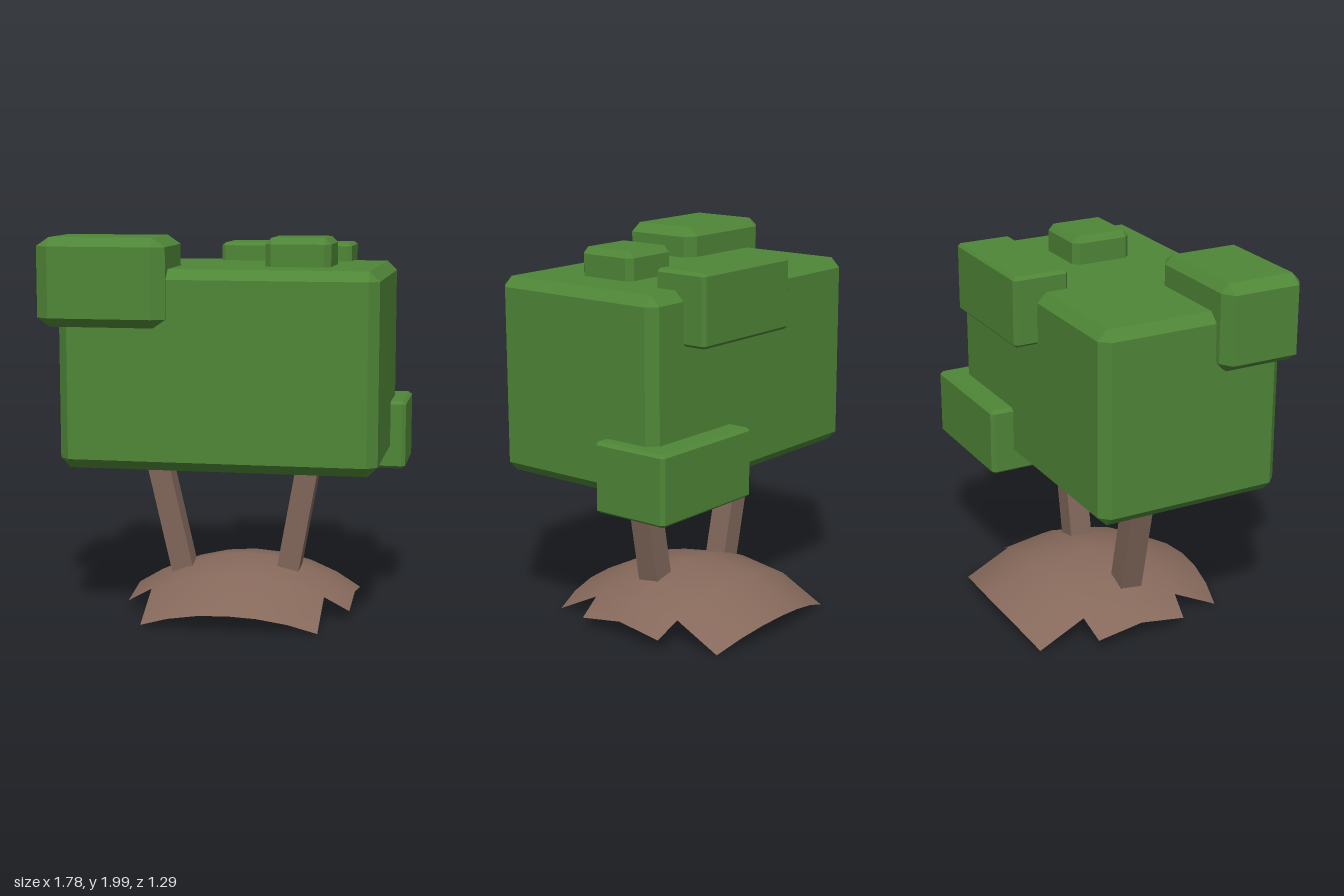
import * as THREE from 'three';
import { ConvexGeometry } from 'three/addons/geometries/ConvexGeometry.js';

const leafMat = new THREE.MeshStandardMaterial({ color: 0x4f8637, flatShading: true });
const barkMat = new THREE.MeshStandardMaterial({ color: 0x80665a, flatShading: true });
const soilMat = new THREE.MeshStandardMaterial({ color: 0x86695b, side: THREE.DoubleSide });

// Box between two corners with a single chamfer on every edge
function chamferBox(name, min, max, bevel) {
  const centre = min.map((v, i) => (v + max[i]) / 2);
  const half = min.map((v, i) => (max[i] - v) / 2);
  const points = [];
  for (const sx of [-1, 1]) for (const sy of [-1, 1]) for (const sz of [-1, 1]) {
    for (let axis = 0; axis < 3; axis++) {
      const p = [sx, sy, sz].map((s, i) => centre[i] + s * (half[i] - (i === axis ? 0 : bevel[i])));
      points.push(new THREE.Vector3(...p));
    }
  }
  const mesh = new THREE.Mesh(new ConvexGeometry(points), leafMat);
  mesh.name = name;
  return mesh;
}

// Square post running between two points in the x-y plane
function post(name, x0, y0, x1, y1) {
  const length = Math.hypot(x1 - x0, y1 - y0);
  const mesh = new THREE.Mesh(new THREE.BoxGeometry(0.117, length, 0.125), barkMat);
  mesh.position.set((x0 + x1) / 2, (y0 + y1) / 2, 0);
  mesh.rotation.z = -Math.atan2(x1 - x0, y1 - y0);
  mesh.name = name;
  return mesh;
}

// Spherical patch of ground with its four corners notched out
function mound() {
  const xs = [-0.59, -0.46, -0.31, -0.155, 0, 0.155, 0.31, 0.46, 0.59];
  const zs = [-0.595, -0.31, 0, 0.31, 0.595];
  const R = 1.03;
  const positions = [], index = [];
  for (const t of zs) for (const x of xs) {
    const z = t * (1 - 0.109 * (x / 0.46) ** 2);
    positions.push(x, 0.285 - R + Math.sqrt(R * R - x * x - z * z), z);
  }
  const n = xs.length;
  for (let j = 0; j < zs.length - 1; j++) for (let i = 0; i < n - 1; i++) {
    const outerX = i === 0 || i === n - 2;
    const outerZ = j === 0 || j === zs.length - 2;
    if (outerX && outerZ) continue;
    const a = j * n + i, b = a + 1, c = a + n, d = c + 1;
    index.push(a, c, b, b, c, d);
  }
  const geometry = new THREE.BufferGeometry();
  geometry.setAttribute('position', new THREE.Float32BufferAttribute(positions, 3));
  geometry.setIndex(index);
  geometry.computeVertexNormals();
  const mesh = new THREE.Mesh(geometry, soilMat);
  mesh.position.set(0.05, 0, -0.05);
  mesh.name = 'groundMound';
  return mesh;
}

export function createModel() {
  const group = new THREE.Group();
  group.name = 'blockTree';

  // Foliage blocks
  const foliage = new THREE.Group();
  foliage.name = 'foliage';
  foliage.add(
    chamferBox('mainFoliage', [-0.8, 0.835, -0.425], [0.81, 1.845, 0.588], [0.05, 0.05, 0.05]),
    chamferBox('frontCornerFoliage', [-0.895, 1.555, 0.195], [-0.24, 2, 0.64], [0.065, 0.045, 0.042]),
    chamferBox('backUpperFoliage', [-0.12, 1.575, -0.55], [0.58, 1.94, -0.25], [0.02, 0.015, 0.014]),
    chamferBox('backLowerFoliage', [0.19, 0.76, -0.55], [0.89, 1.12, -0.115], [0.02, 0.015, 0.018]),
    chamferBox('topFoliage', [0.2, 1.65, -0.05], [0.535, 1.99, 0.28], [0.032, 0.032, 0.03]),
  );
  group.add(foliage);

  // Leaning trunks, poking through the mound below
  group.add(
    post('rightTrunk', -0.243, 0.058, -0.46, 1.0),
    post('leftTrunk', 0.268, 0.09, 0.432, 1.0),
  );

  group.add(mound());
  return group;
}
